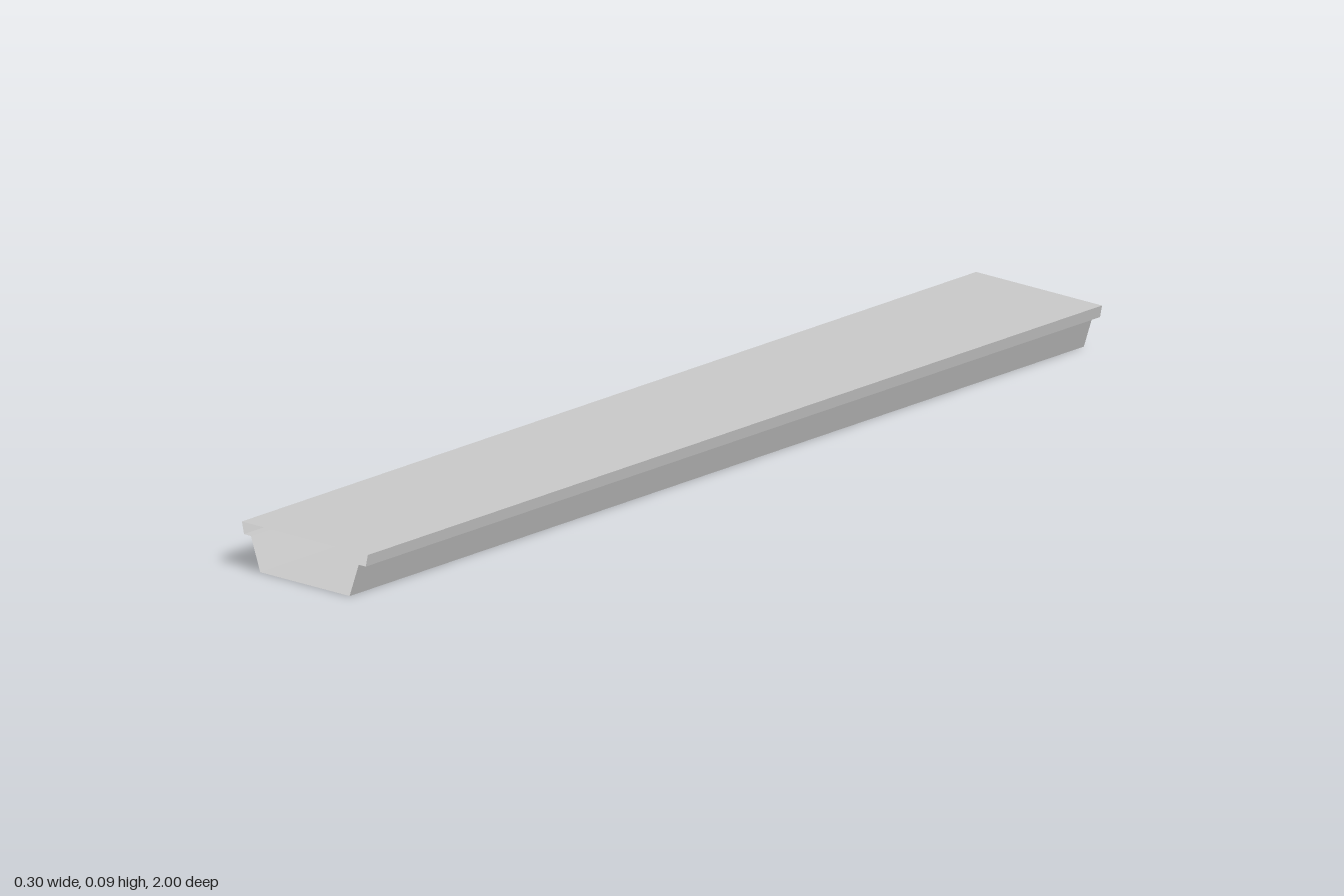
import * as THREE from 'three';

const LENGTH = 2;
const material = new THREE.MeshStandardMaterial({
  color: 0xcccccc, flatShading: true, side: THREE.DoubleSide,
});

// Thin flat sheet spanning two profile points, running the full length along z
function panel(name, [x0, y0], [x1, y1]) {
  const geometry = new THREE.PlaneGeometry(Math.hypot(x1 - x0, y1 - y0), LENGTH);
  geometry.rotateX(Math.PI / 2);
  geometry.rotateZ(Math.atan2(y1 - y0, x1 - x0));
  geometry.translate((x0 + x1) / 2, (y0 + y1) / 2, 0);
  const mesh = new THREE.Mesh(geometry, material);
  mesh.name = name;
  return mesh;
}

export function createModel() {
  const group = new THREE.Group();
  group.name = 'channelBeam';

  // Half profile from the bottom edge up to the top edge
  const bottom = [0.108, 0];
  const wallTop = [0.13, 0.064];
  const lipBottom = [0.147, 0.064];
  const top = [0.152, 0.087];
  const mirror = ([x, y]) => [-x, y];

  // Bottom and cover sheets; both ends stay open
  group.add(panel('bottomPlate', mirror(bottom), bottom));
  group.add(panel('topPlate', top, mirror(top)));

  // Sloped wall, ledge and lip on each side
  const sides = [['left', (p) => p], ['right', mirror]];
  for (const [side, place] of sides) {
    // Reverse the point order on the mirrored side so faces point outward
    const add = (name, a, b) => group.add(side === 'left'
      ? panel(side + name, place(a), place(b))
      : panel(side + name, place(b), place(a)));
    add('Wall', bottom, wallTop);
    add('Ledge', wallTop, lipBottom);
    add('Lip', lipBottom, top);
  }
  return group;
}
